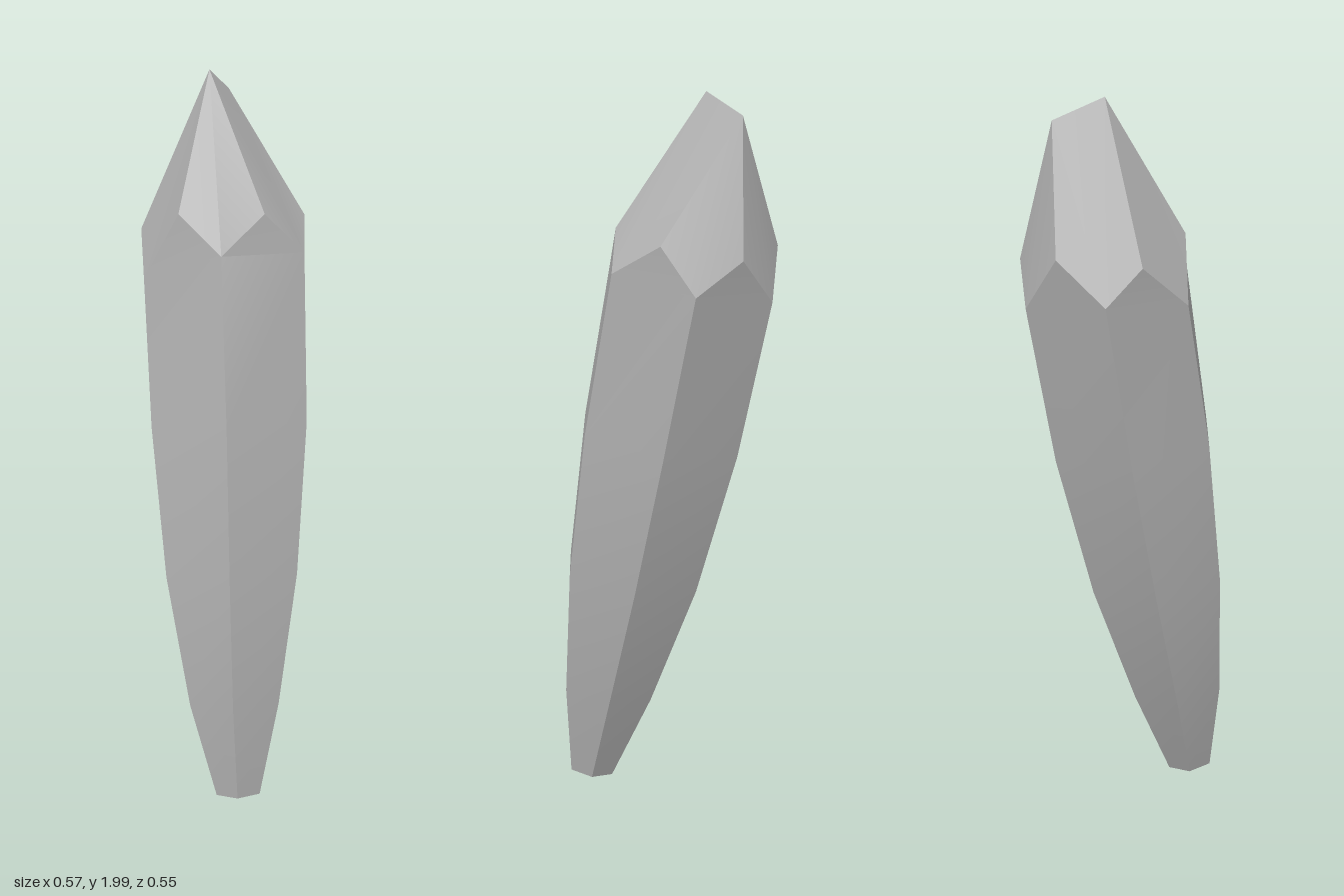
import * as THREE from 'three';
import { toCreasedNormals } from 'three/addons/utils/BufferGeometryUtils.js';

const V = (x, y, z) => new THREE.Vector3(x, y, z);

// Shoulder: six corners where the long edges end, and the peaks between them
const corners = [
  V(0.205, 1.53, -0.07), V(0.055, 1.48, -0.265), V(-0.19, 1.45, -0.24),
  V(-0.29, 1.47, -0.01), V(-0.14, 1.46, 0.19), V(0.1, 1.54, 0.16),
];
const peaks = [
  V(0.12, 1.61, -0.19), V(-0.08, 1.57, -0.275), V(-0.26, 1.59, -0.145),
  V(-0.24, 1.57, 0.08), V(-0.035, 1.64, 0.17), V(0.145, 1.64, 0.03),
];

// The tip is a short ridge; each peak runs up to one of its two ends
const front = V(-0.093, 2.0, -0.04);
const back = V(-0.13, 1.94, -0.175);
const apex = [back, back, back, front, front, front];

// Lower rings as [centre x, y, centre z, scale of the shoulder outline]
const rings = [
  [0.17, 0.02, 0.175, 0.28],
  [0.13, 0.285, 0.14, 0.57],
  [0.077, 0.645, 0.083, 0.83],
  [0.02, 1.055, 0.02, 0.975],
];

function ringPoints([cx, cy, cz, s]) {
  return corners.map((c) => {
    const dx = (c.x + 0.043) * s;
    const dz = (c.z + 0.04) * s;
    return V(cx + dx, cy + 0.12 * dx + 0.1 * dz, cz + dz); // tilted with the lean
  });
}

function facesToGeometry(triangles) {
  const points = triangles.flat();
  const geometry = new THREE.BufferGeometry().setFromPoints(points);
  return toCreasedNormals(geometry, THREE.MathUtils.degToRad(30));
}

export function createModel() {
  const group = new THREE.Group();
  group.name = 'crystal';
  const stone = new THREE.MeshStandardMaterial({ color: 0xb0b0b0 });
  stone.name = 'grey stone';

  const layers = [...rings.map(ringPoints), corners];
  const triangles = [];

  for (let i = 0; i < 6; i++) {
    const next = (i + 1) % 6;
    const prev = (i + 5) % 6;

    // Long side facet
    for (let k = 0; k < layers.length - 1; k++) {
      const lo = layers[k];
      const hi = layers[k + 1];
      triangles.push([lo[i], lo[next], hi[next]], [lo[i], hi[next], hi[i]]);
    }
    triangles.push([corners[i], corners[next], peaks[i]]);

    // Tip facet above each corner
    triangles.push([corners[i], peaks[i], apex[i]]);
    if (apex[i] !== apex[prev]) triangles.push([corners[i], apex[i], apex[prev]]);
    triangles.push([corners[i], apex[prev], peaks[prev]]);
  }

  // Base
  const base = layers[0];
  for (let i = 1; i < 5; i++) triangles.push([base[0], base[i + 1], base[i]]);

  const shard = new THREE.Mesh(facesToGeometry(triangles), stone);
  shard.name = 'crystalShard';
  group.add(shard);
  return group;
}
